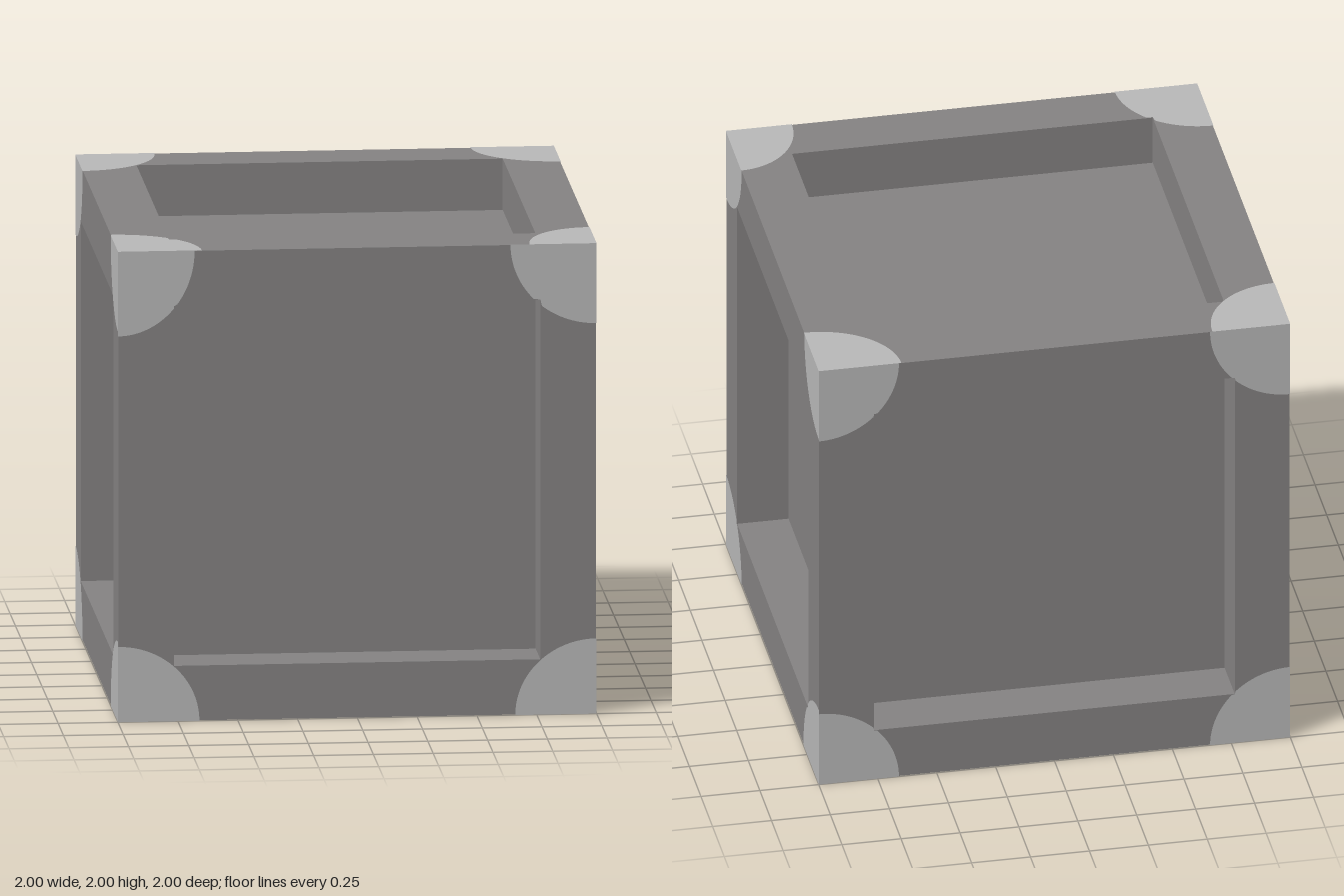
import * as THREE from 'three';

const FRAME = 0.235;   // width of the frame beams
const PANEL = 0.78;    // distance of the recessed panels from the centre
const HALF = 0.998;    // beams stop just under the corner plates

export function createModel() {
  const model = new THREE.Group();
  const darkGrey = new THREE.MeshStandardMaterial({ color: 0x848282 });
  darkGrey.name = 'darkGrey';
  const lightGrey = new THREE.MeshStandardMaterial({ color: 0xb8b8b8 });
  lightGrey.name = 'lightGrey';

  function addBox(name, size, pos) {
    const mesh = new THREE.Mesh(new THREE.BoxGeometry(...size), darkGrey);
    mesh.name = name;
    mesh.position.set(pos[0], pos[1] + 1, pos[2]);
    model.add(mesh);
  }

  // Core whose six sides are the recessed panels
  addBox('recessedPanels', [2 * PANEL, 2 * PANEL, 2 * PANEL], [0, 0, 0]);

  // Four posts, and the rails between them
  const inner = 1 - FRAME;
  const thick = HALF - inner;
  const mid = (HALF + inner) / 2;
  for (const a of [-1, 1]) {
    for (const b of [-1, 1]) {
      addBox('cornerPost', [thick, 2 * HALF, thick], [a * mid, 0, b * mid]);
      addBox('crossRail', [2 * inner, thick, thick], [0, a * mid, b * mid]);
      addBox('sideRail', [thick, thick, 2 * inner], [a * mid, b * mid, 0]);
    }
  }

  // Quarter-round corner plate, notched where it meets the recess
  function cornerShape(sx, sy, rx, ry) {
    const points = [new THREE.Vector2(sx, sy)];
    const steps = 48;
    for (let i = 0; i <= steps; i++) {
      const t = (i / steps) * Math.PI / 2;
      let x = rx * Math.cos(t);
      let y = ry * Math.sin(t);
      if (x > FRAME && y > FRAME) x = y = FRAME;
      points.push(new THREE.Vector2(sx * (1 - x), sy * (1 - y)));
    }
    return new THREE.Shape(points);
  }

  // Each face: turn, then plate radii for top left, top right, bottom left, bottom right
  const q = Math.PI / 2;
  const even = [[0.34, 0.34], [0.34, 0.34], [0.34, 0.34], [0.34, 0.34]];
  const faces = [
    ['front', [0, 0, 0], [[0.32, 0.36], [0.36, 0.34], [0.34, 0.32], [0.34, 0.32]]],
    ['left', [0, q, 0], [[0.34, 0.32], [0.31, 0.33], [0.34, 0.34], [0.33, 0.36]]],
    ['top', [-q, 0, 0], [[0.33, 0.34], [0.35, 0.32], [0.35, 0.35], [0.28, 0.33]]],
    ['back', [0, 2 * q, 0], even],
    ['right', [0, -q, 0], even],
    ['bottom', [q, 0, 0], even],
  ];
  const signs = [[-1, 1], [1, 1], [-1, -1], [1, -1]];
  for (const [name, turn, radii] of faces) {
    const shapes = signs.map(([sx, sy], i) => cornerShape(sx, sy, ...radii[i]));
    const geometry = new THREE.ShapeGeometry(shapes);
    geometry.translate(0, 0, 1);
    const plates = new THREE.Mesh(geometry, lightGrey);
    plates.name = name + 'CornerPlates';
    plates.rotation.set(...turn);
    plates.position.y = 1;
    model.add(plates);
  }
  return model;
}
